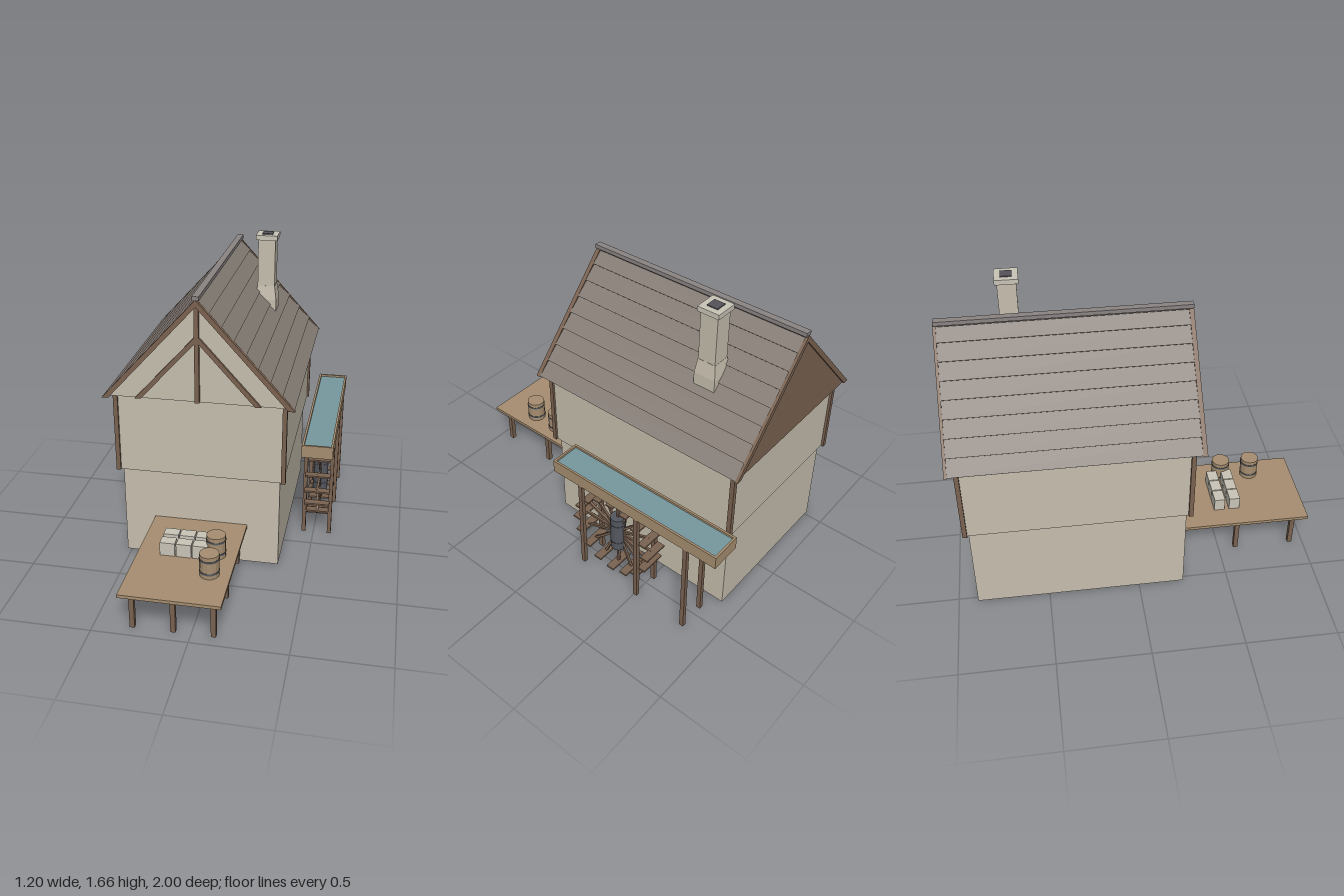
import * as THREE from 'three';

const mat = (name, color) => {
  const m = new THREE.MeshStandardMaterial({ color });
  m.name = name;
  return m;
};

export function createModel() {
  const plaster = mat('plaster', 0xc6beae);
  const timber = mat('timber', 0x7a6250);
  const plank = mat('plank', 0xa68e70);
  const slate = mat('slate', 0x857c75);
  const ridgeGrey = mat('ridge grey', 0x8a8583);
  const iron = mat('iron', 0x54585f);
  const water = mat('water', 0x76989f);
  const soot = mat('soot', 0x55535a);
  const stone = mat('pale stone', 0xcac5b8);

  const model = new THREE.Group();
  model.name = 'watermill';
  const group = (name) => {
    const g = new THREE.Group();
    g.name = name;
    model.add(g);
    return g;
  };
  const add = (parent, name, geometry, material) => {
    const m = new THREE.Mesh(geometry, material);
    m.name = name;
    parent.add(m);
    return m;
  };
  // Box given by its low and high corner on each axis
  const box = (parent, name, material, x0, x1, y0, y1, z0, z1) => {
    const m = add(parent, name, new THREE.BoxGeometry(x1 - x0, y1 - y0, z1 - z0), material);
    m.position.set((x0 + x1) / 2, (y0 + y1) / 2, (z0 + z1) / 2);
    return m;
  };
  // Flat outline in x and y, extruded from z0 to z1
  const slab = (parent, name, material, points, z0, z1) => {
    const shape = new THREE.Shape(points.map(([x, y]) => new THREE.Vector2(x, y)));
    const g = new THREE.ExtrudeGeometry(shape, { depth: z1 - z0, bevelEnabled: false });
    g.translate(0, 0, z0);
    return add(parent, name, g, material);
  };
  // Faceted cylinder with flat normals
  const faceted = (r0, r1, h, sides) => {
    const g = new THREE.CylinderGeometry(r0, r1, h, sides).toNonIndexed();
    g.computeVertexNormals();
    return g;
  };

  // House walls: upper storey slightly overhangs the lower one
  const house = group('house');
  box(house, 'lowerWalls', plaster, -0.525, 0.34, 0, 0.525, -0.895, 0.25);
  box(house, 'upperWalls', plaster, -0.545, 0.36, 0.525, 0.975, -0.91, 0.268);
  for (const x of [-0.545, 0.36])
    for (const z of [-0.912, 0.268])
      box(house, 'cornerPost', timber, x - 0.012, x + 0.012, 0.525, 0.975, z - 0.012, z + 0.012);

  // Roof
  const CX = -0.093, EAVE = 0.975, APEX = 1.53, HALF = 0.505, BACK = -0.955, FRONT = 0.305;
  const roof = group('roof');
  slab(roof, 'gableBody', plaster,
    [[CX - 0.49, EAVE], [CX + 0.49, EAVE], [CX, 1.512]], BACK + 0.006, FRONT - 0.006);
  slab(roof, 'backGable', timber,
    [[CX - 0.49, EAVE], [CX + 0.49, EAVE], [CX, 1.512]], BACK, BACK + 0.006);

  // Overlapping courses of roof boards, mirrored over the ridge
  const ROWS = 8;
  const rise = APEX - EAVE;
  const angle = Math.atan2(rise, HALF);
  const nx = Math.sin(angle), ny = Math.cos(angle);
  for (const s of [-1, 1]) {
    for (let i = 0; i < ROWS; i++) {
      const t0 = i / ROWS, t1 = (i + 1) / ROWS;
      const at = (t, d) => [CX + s * (HALF * (1 - t) + nx * d), EAVE + rise * t + ny * d];
      slab(roof, 'roofCourse', slate,
        [at(t0, -0.012), at(t0, 0.002), at(t1, -0.007), at(t1, -0.014)], BACK, FRONT);
    }
  }
  box(roof, 'ridgeCap', ridgeGrey, CX - 0.018, CX + 0.018, 1.528, 1.55, -0.962, 0.325);

  // Barge boards at both ends, king post and braces at the front
  for (const s of [-1, 1]) {
    const board = [[CX, 1.533], [CX, 1.495], [CX + s * 0.475, EAVE - 0.003], [CX + s * 0.51, EAVE - 0.003]];
    slab(roof, 'frontBargeBoard', timber, board, 0.302, 0.326);
    slab(roof, 'backBargeBoard', timber, board, -0.965, -0.95);
    slab(roof, 'gableBrace', timber,
      [[CX, 1.345], [CX, 1.309], [CX + s * 0.302, EAVE], [CX + s * 0.335, EAVE]], 0.295, 0.313);
  }
  box(roof, 'kingPost', timber, CX - 0.012, CX + 0.012, EAVE, 1.51, 0.295, 0.316);

  // Chimney with flared foot, cap and flue
  const chimney = group('chimney');
  const X = 0.131, Z = -0.594;
  box(chimney, 'chimneyFoot', plaster, X - 0.061, X + 0.061, 1.21, 1.28, Z - 0.061, Z + 0.061);
  const flare = faceted(0.05 * Math.SQRT2, 0.061 * Math.SQRT2, 0.08, 4);
  flare.rotateY(Math.PI / 4);
  add(chimney, 'chimneyFlare', flare, plaster).position.set(X, 1.32, Z);
  box(chimney, 'chimneyShaft', plaster, X - 0.049, X + 0.049, 1.35, 1.63, Z - 0.049, Z + 0.049);
  box(chimney, 'chimneyCap', stone, X - 0.061, X + 0.061, 1.628, 1.655, Z - 0.061, Z + 0.061);
  box(chimney, 'flue', soot, X - 0.03, X + 0.03, 1.654, 1.66, Z - 0.03, Z + 0.03);

  // Raised water trough on six legs
  const trough = group('trough');
  box(trough, 'troughFloor', plank, 0.43, 0.602, 0.577, 0.59, -1, 0.05);
  for (const x of [0.43, 0.59]) box(trough, 'troughSide', plank, x, x + 0.012, 0.577, 0.65, -1, 0.05);
  for (const z of [-1, 0.038]) box(trough, 'troughEnd', plank, 0.442, 0.59, 0.577, 0.65, z, z + 0.012);
  box(trough, 'waterSurface', water, 0.442, 0.59, 0.63, 0.638, -0.988, 0.038);
  for (const x of [0.442, 0.591])
    for (const z of [-0.135, -0.508, -0.82])
      box(trough, 'troughLeg', timber, x - 0.011, x + 0.011, 0, 0.577, z - 0.012, z + 0.012);

  // Cask with two hoops, used for the barrels and the wheel hub
  const cask = (parent, name, body, hoop, r, h, x, y, z) => {
    const g = new THREE.Group();
    g.name = name;
    g.position.set(x, y, z);
    parent.add(g);
    add(g, 'staves', faceted(r, r, h, 14), body).position.y = h / 2;
    for (const t of [0.22, 0.78])
      add(g, 'hoop', faceted(r + 0.002, r + 0.002, 0.01, 14), hoop).position.y = h * t;
  };

  // Water wheel: upright hub, sixteen spokes, level paddles
  const wheel = group('waterWheel');
  const WX = 0.515, WY = 0.3, WZ = -0.32, R = 0.235;
  cask(wheel, 'wheelHub', iron, soot, 0.042, 0.22, WX, 0.19, WZ);
  for (let i = 0; i < 16; i++) {
    const a = (i / 16) * Math.PI * 2;
    const dy = Math.cos(a), dz = Math.sin(a);
    const spoke = add(wheel, 'spoke', new THREE.BoxGeometry(0.013, R, 0.013), timber);
    spoke.position.set(WX, WY + dy * R / 2, WZ + dz * R / 2);
    spoke.rotation.x = a;
    const py = WY + dy * R, pz = WZ + dz * R;
    box(wheel, 'paddle', timber, WX - 0.072, WX + 0.072, py - 0.005, py + 0.005, pz - 0.023, pz + 0.023);
  }

  // Loading platform on nine legs
  const table = group('platform');
  box(table, 'platformTop', plank, -0.355, 0.165, 0.217, 0.235, 0.25, 1);
  for (const x of [-0.302, -0.092, 0.114])
    for (const z of [0.275, 0.6, 0.925])
      box(table, 'platformLeg', timber, x - 0.013, x + 0.013, 0, 0.217, z - 0.013, z + 0.013);

  // Goods on the platform
  const goods = group('goods');
  for (let i = 0; i < 3; i++)
    for (const z of [0.478, 0.564]) {
      const x = -0.233 + i * 0.0865;
      box(goods, 'flourBlock', stone, x, x + 0.08, 0.235, 0.31, z, z + 0.06);
    }
  for (const z of [0.57, 0.745]) cask(goods, 'barrel', plank, iron, 0.051, 0.125, 0.056, 0.235, z);

  return model;
}
